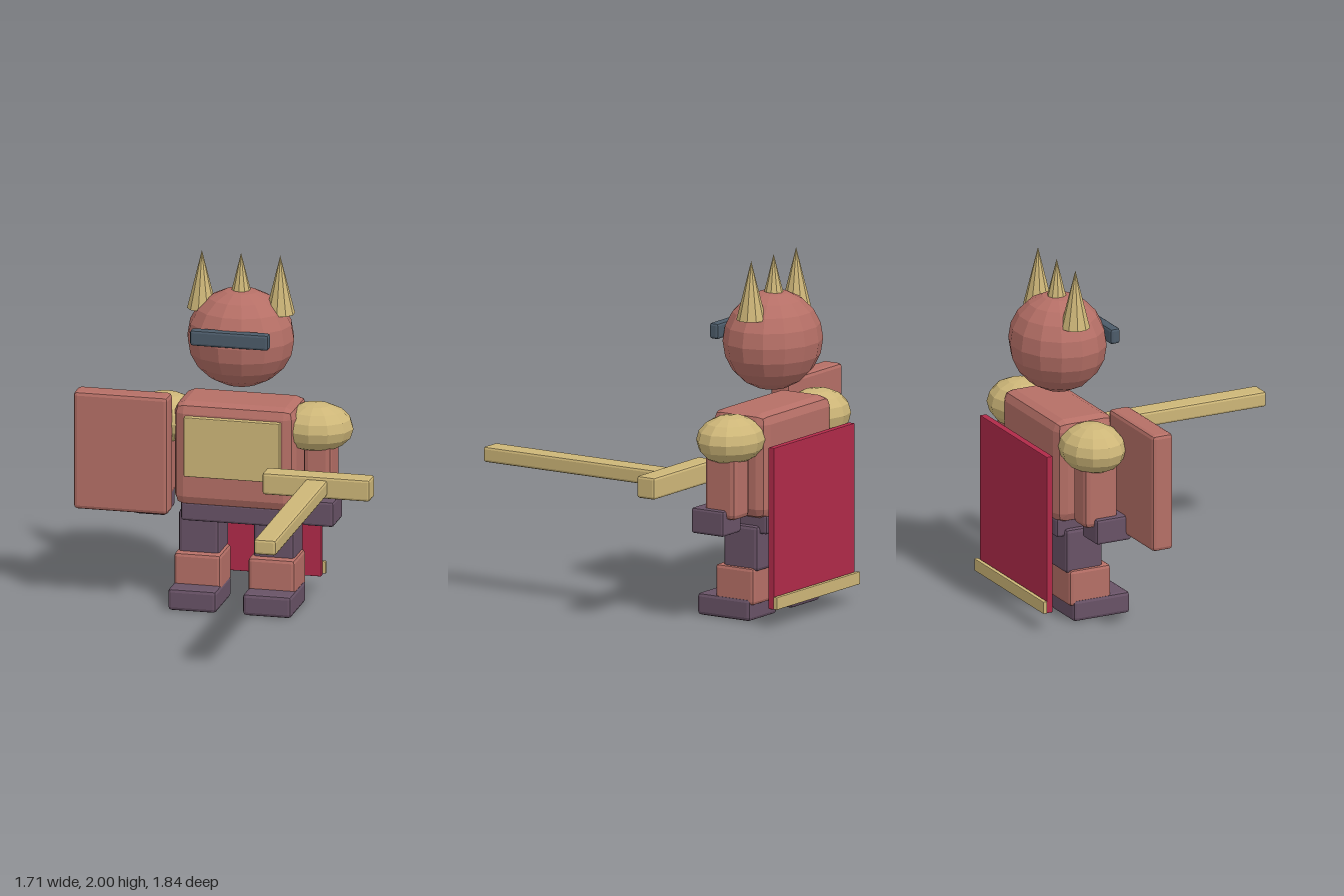
import * as THREE from 'three';
import { RoundedBoxGeometry } from 'three/addons/geometries/RoundedBoxGeometry.js';

const CX = 0.033; // the figure's own middle line
const CZ = -0.62;

export function createModel() {
  const model = new THREE.Group();
  model.name = 'knight';

  const paint = (name, color) => {
    const m = new THREE.MeshStandardMaterial({ color, flatShading: true });
    m.name = name;
    return m;
  };
  const clay = paint('clay red', 0xb56f66);
  const gold = paint('pale gold', 0xcdb678);
  const plum = paint('plum', 0x685266);
  const crimson = paint('crimson', 0xb02a49);
  const slate = paint('slate', 0x4c5b69);

  const add = (name, geometry, material, x, y, z) => {
    const mesh = new THREE.Mesh(geometry, material);
    mesh.name = name;
    mesh.position.set(x, y, z);
    model.add(mesh);
    return mesh;
  };
  // Box with chamfered edges, given by its extents
  const box = (name, material, [x0, x1], [y0, y1], [z0, z1], bevel = 0.015) =>
    add(name, new RoundedBoxGeometry(x1 - x0, y1 - y0, z1 - z0, 1, bevel), material,
      (x0 + x1) / 2, (y0 + y1) / 2, (z0 + z1) / 2);
  const ball = (name, material, x, y, z, rx, ry, rz, w, h) =>
    add(name, new THREE.SphereGeometry(1, w, h).scale(rx, ry, rz), material, x, y, z);

  // Head, visor and crown spikes
  ball('head', clay, CX, 1.52, -0.615, 0.302, 0.278, 0.265, 14, 10);
  box('visor', slate, [-0.19, 0.255], [1.53, 1.62], [-0.4, -0.34]);
  for (const dx of [-0.222, 0, 0.222]) {
    add('crownSpike', new THREE.ConeGeometry(0.082, 0.33, 10), gold, CX + dx, 1.835, CZ);
  }

  // Body
  box('torso', clay, [-0.31, 0.378], [0.575, 1.17], [-0.79, -0.43], 0.06);
  box('chestPlate', gold, [-0.238, 0.305], [0.76, 1.1], [-0.44, -0.395], 0.005);
  box('belt', plum, [-0.268, 0.334], [0.49, 0.6], [-0.775, -0.45]);

  // Mirrored limbs
  for (const side of [-1, 1]) {
    const label = side > 0 ? 'left' : 'right';
    const limb = (name, material, offset, width, ys, zs, bevel) => {
      const x = CX + side * offset;
      box(label + name, material, [x - width / 2, x + width / 2], ys, zs, bevel);
    };
    limb('Thigh', plum, 0.212, 0.23, [0.28, 0.535], [-0.73, -0.505], 0.02);
    limb('Shin', clay, 0.21, 0.265, [0.09, 0.3], [-0.715, -0.46], 0.02);
    limb('Foot', plum, 0.212, 0.275, [0, 0.125], [-0.695, -0.345], 0.02);
    limb('Arm', clay, 0.455, 0.16, [0.6, 1.02], [-0.72, -0.515], 0.03);
    limb('Hand', plum, 0.475, 0.18, [0.51, 0.655], [-0.665, -0.45], 0.015);
    ball(label + 'Shoulder', gold, CX + side * 0.425, 1.033, CZ, 0.212, 0.137, 0.182, 12, 8);
  }

  // Shield held on the right
  box('shield', clay, [-0.855, -0.32], [0.54, 1.215], [-0.485, -0.358], 0.022);

  // Sword held on the left, pointing forward
  box('swordGuard', gold, [0.24, 0.85], [0.73, 0.855], [-0.378, -0.258]);
  box('swordBlade', gold, [0.484, 0.61], [0.748, 0.836], [-0.3, 0.92]);

  // Cape with a trim along its hem
  box('cape', crimson, [-0.365, 0.43], [0.1, 1.01], [-0.89, -0.85], 0.005);
  box('capeTrim', gold, [-0.38, 0.445], [0.105, 0.175], [-0.918, -0.893], 0.004);

  return model;
}
